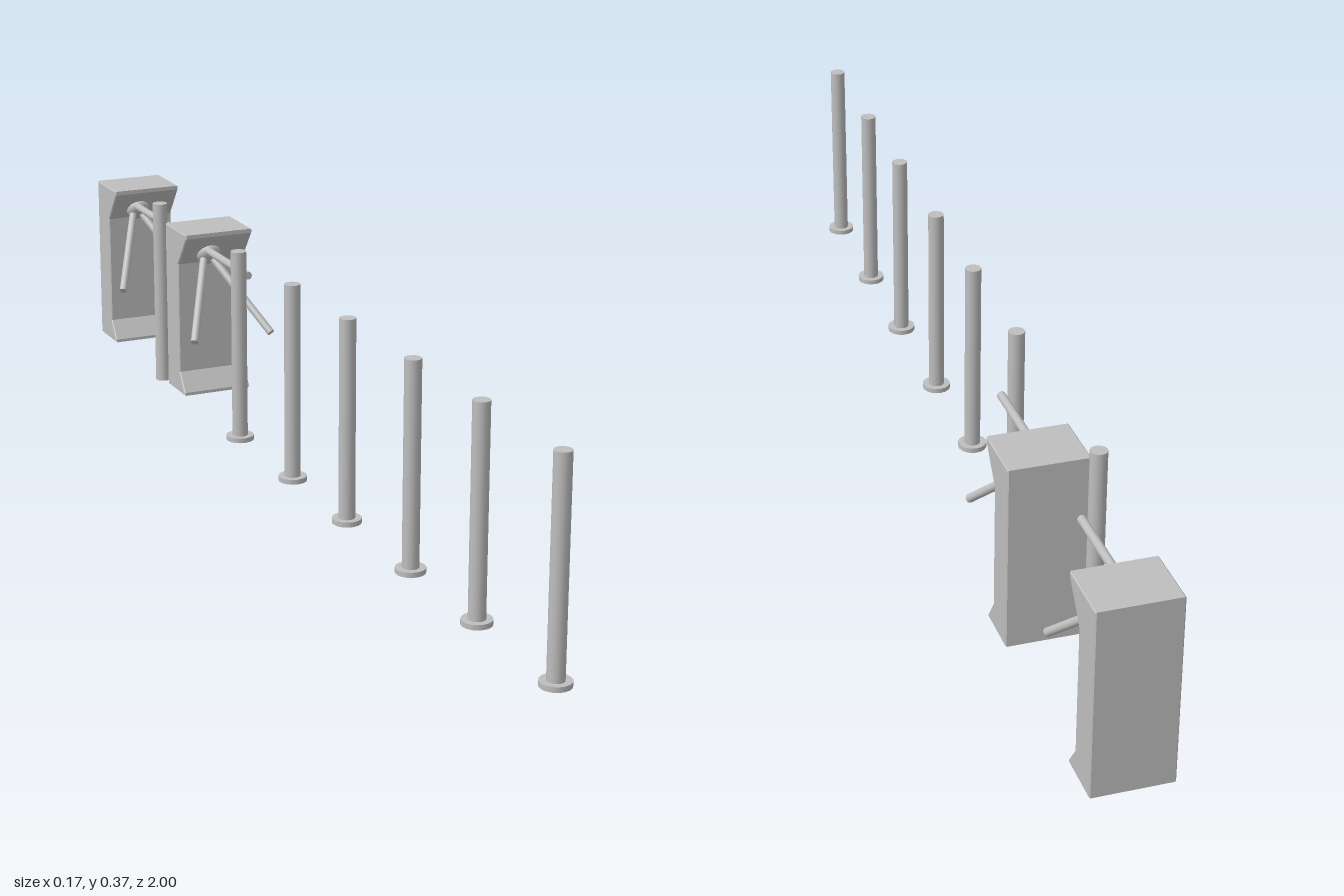
import * as THREE from 'three';

const grey = new THREE.MeshStandardMaterial({ color: 0xbebebe });
grey.name = 'grey metal';

function part(name, geometry, parent) {
  const mesh = new THREE.Mesh(geometry, grey);
  mesh.name = name;
  parent.add(mesh);
  return mesh;
}

// Round bar between two points
function bar(name, from, to, radius, parent) {
  const dir = to.clone().sub(from);
  const mesh = part(name, new THREE.CylinderGeometry(radius, radius, dir.length(), 14), parent);
  mesh.position.copy(from).add(to).multiplyScalar(0.5);
  mesh.quaternion.setFromUnitVectors(new THREE.Vector3(0, 1, 0), dir.normalize());
}

// Barrier post, with or without a foot flange
function post(z, hasFlange) {
  const group = new THREE.Group();
  group.name = 'post';
  part('postTube', new THREE.CylinderGeometry(0.0145, 0.0145, 0.367, 16), group).position.y = 0.1835;
  if (hasFlange) {
    part('postFlange', new THREE.CylinderGeometry(0.026, 0.026, 0.009, 16), group).position.y = 0.0045;
  }
  group.position.set(-0.051, 0, z);
  return group;
}

// Turnstile; its origin lies at the back of the cabinet
function turnstile(z) {
  const group = new THREE.Group();
  group.name = 'turnstile';

  // Cabinet side profile (depth, height), swept across the width
  const profile = [[0, 0], [0.091, 0], [0.091, 0.006], [0.065, 0.043],
    [0.065, 0.265], [0.111, 0.326], [0.111, 0.334], [0, 0.334]];
  const bevel = 0.002;
  const cabinet = new THREE.ExtrudeGeometry(
    new THREE.Shape(profile.map(([d, h]) => new THREE.Vector2(d, h))),
    { depth: 0.139 - 2 * bevel, bevelEnabled: true, bevelThickness: bevel,
      bevelSize: bevel, bevelOffset: -bevel, bevelSegments: 1 });
  cabinet.rotateY(-Math.PI / 2);
  cabinet.translate(0.0865 - bevel, 0, 0);
  part('cabinet', cabinet, group);

  // Domed hub set into the sloping underside of the lip
  const hub = part('hub', new THREE.SphereGeometry(0.0245, 16, 10), group);
  hub.scale.y = 0.65;
  hub.position.set(0.007, 0.285, 0.081);
  hub.quaternion.setFromUnitVectors(new THREE.Vector3(0, 1, 0), new THREE.Vector3(0, -0.58, 0.82).normalize());

  // Tripod arms: one level, two splayed downwards
  bar('levelArm', new THREE.Vector3(0.001, 0.294, 0.08), new THREE.Vector3(0.001, 0.294, 0.296), 0.0075, group);
  for (const s of [-1, 1]) {
    bar('slopingArm', new THREE.Vector3(0.003 + s * 0.007, 0.281, 0.083),
      new THREE.Vector3(s * 0.08, 0.151, 0.219), 0.0075, group);
  }
  group.position.z = z;
  return group;
}

export function createModel() {
  const model = new THREE.Group();
  model.name = 'turnstileRow';
  for (const z of [0.974, 0.728, 0.497, 0.251, 0.02, -0.226]) model.add(post(z, true));
  model.add(post(-0.633, false));
  for (const z of [-0.6, -1]) model.add(turnstile(z));
  return model;
}
